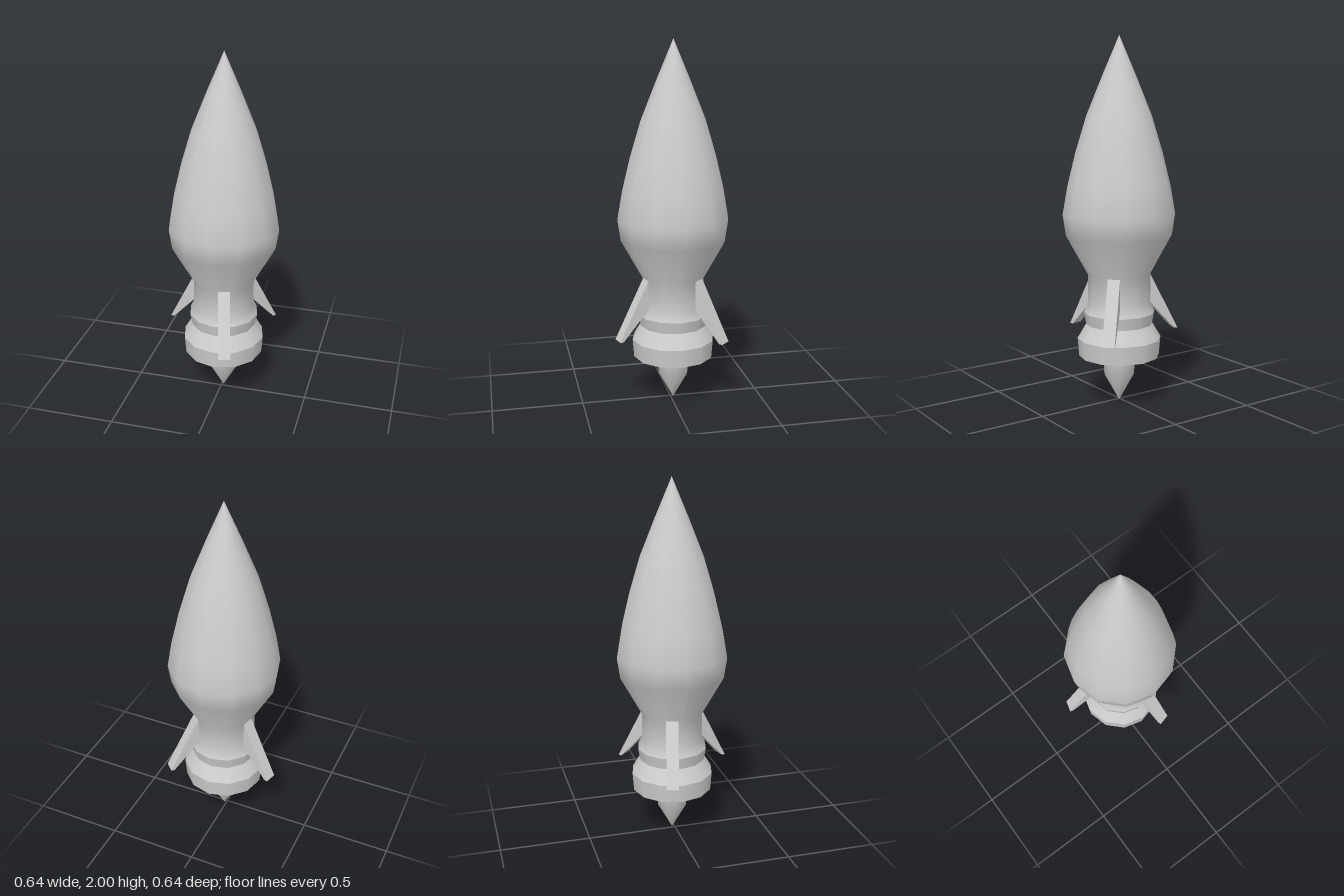
import * as THREE from 'three';

const SIDES = 12;

export function createModel() {
  const rocket = new THREE.Group();
  rocket.name = 'rocket';
  const material = new THREE.MeshStandardMaterial({ color: 0xcccccc });

  // The rocket axis sits slightly off the centre of the bounds because of the three fins
  const axis = new THREE.Group();
  axis.name = 'rocketAxis';
  axis.position.set(0.012, 0, -0.014);
  rocket.add(axis);

  const add = (name, geometry) => {
    const mesh = new THREE.Mesh(geometry, material);
    mesh.name = name;
    axis.add(mesh);
    return mesh;
  };

  // Turned sections, listed bottom to top as [radius, height]; separate sections keep sharp rims
  const turned = (name, points) =>
    add(name, new THREE.LatheGeometry(points.map(([r, y]) => new THREE.Vector2(r, y)), SIDES));

  turned('hull', [
    [0.195, 0.505], [0.172, 0.555], [0.172, 0.715], [0.29, 0.93], [0.307, 1.045],
    [0.28, 1.2], [0.236, 1.38], [0.177, 1.575], [0.092, 1.785], [0, 2],
  ]);
  turned('collar', [[0.183, 0.44], [0.195, 0.505]]);
  turned('skirtSlope', [[0.23, 0.36], [0.183, 0.44]]);
  turned('skirtBand', [[0.222, 0.26], [0.23, 0.36]]);
  turned('skirtUnderside', [[0, 0.26], [0.222, 0.26]]);
  turned('exhaustCone', [[0, 0], [0.083, 0.15], [0.088, 0.26]]);

  // Three swept fins, each centred on a flat of the hull
  const width = 0.067;
  const outline = new THREE.Shape([
    new THREE.Vector2(0.15, 0.715),
    new THREE.Vector2(0.15, 0.565),
    new THREE.Vector2(0.166, 0.555),
    new THREE.Vector2(0.317, 0.39),
    new THREE.Vector2(0.337, 0.39),
    new THREE.Vector2(0.168, 0.715),
  ]);
  const finGeometry = new THREE.ExtrudeGeometry(outline, { depth: width, bevelEnabled: false });
  finGeometry.translate(0, 0, -width / 2);
  for (let i = 0; i < 3; i++) {
    add('fin' + (i + 1), finGeometry).rotation.y = Math.PI / 4 + (i * Math.PI * 2) / 3;
  }

  return rocket;
}
